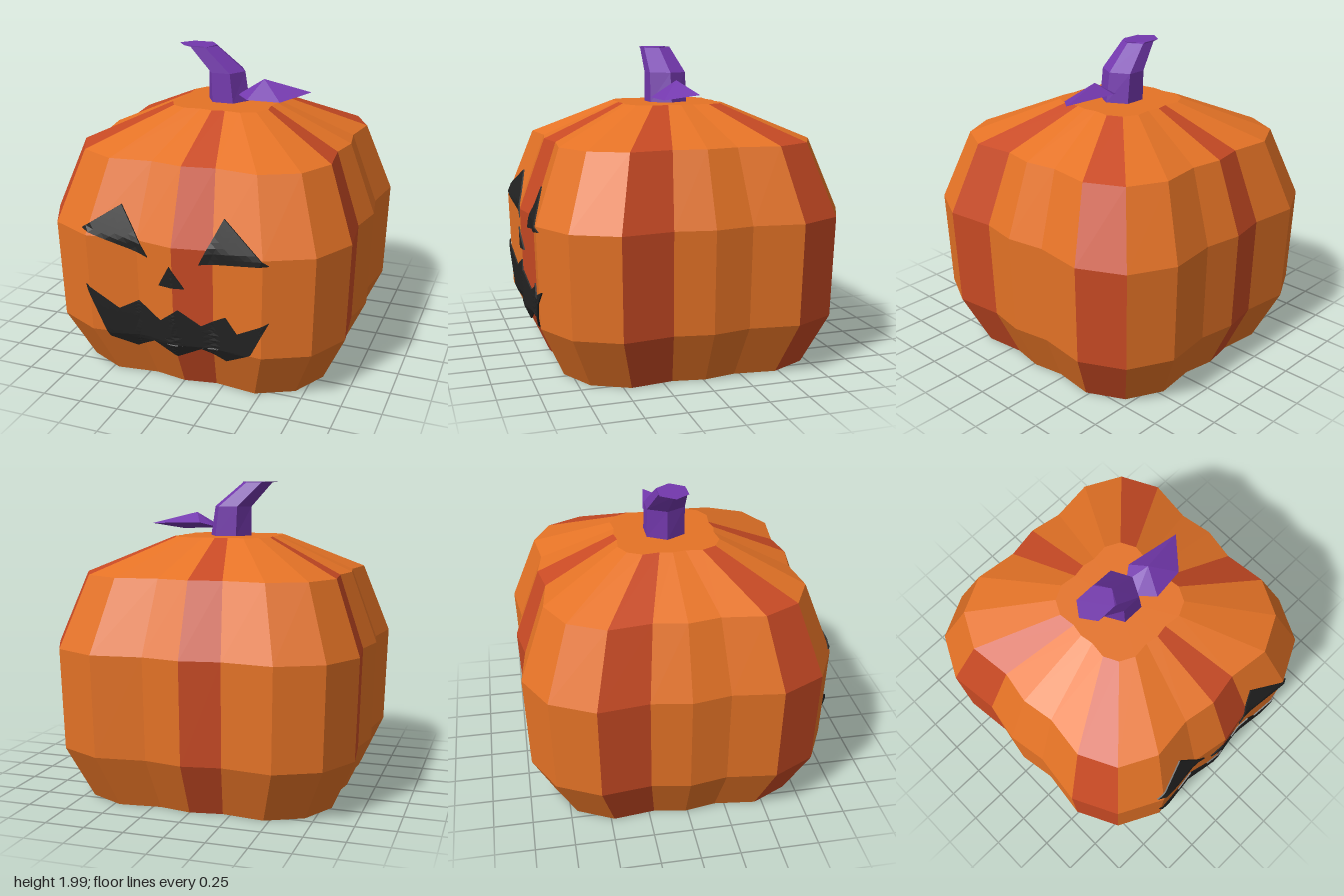
import * as THREE from 'three';

const mat = (name, color) => {
  const m = new THREE.MeshStandardMaterial({ color, side: THREE.DoubleSide });
  m.name = name;
  return m;
};

// One quarter of the ribbed, squarish outline (x, z), from the front centre towards +x
const QUARTER = [[0, 0.985], [0.245, 0.942], [0.565, 0.98], [0.84, 0.84], [0.98, 0.565], [0.942, 0.245]];
const OUTLINE = [];
for (let q = 0, pts = QUARTER; q < 4; q++, pts = pts.map(([x, z]) => [z, -x])) OUTLINE.push(...pts);

const CENTRE_Z = -0.013;
// Height and outline scale of each ring of the shell
const SHELL = [[0, 0.825], [0.335, 0.98], [0.97, 1], [1.42, 0.83]];
const LID = [[1.42, 0.83], [1.64, 0.33]];

const outlineRing = ([y, s]) => OUTLINE.map(([x, z]) => [x * s, y, z * s + CENTRE_Z]);

function facetedGeometry(positions) {
  const g = new THREE.BufferGeometry();
  g.setAttribute('position', new THREE.Float32BufferAttribute(positions, 3));
  g.computeVertexNormals();
  return g;
}

// Faceted skin over a stack of rings; keep(i) picks which segments are built
function loft(rings, keep = () => true) {
  const p = [];
  for (let r = 0; r + 1 < rings.length; r++) {
    const n = rings[r].length;
    for (let i = 0; i < n; i++) {
      if (!keep(i)) continue;
      const j = (i + 1) % n;
      const [a, b, c, d] = [rings[r][i], rings[r][j], rings[r + 1][j], rings[r + 1][i]];
      p.push(...a, ...b, ...c, ...a, ...c, ...d);
    }
  }
  return facetedGeometry(p);
}

// Depth of the shell's front at a given x and y
function frontZ(x, y) {
  let k = 0;
  while (k < SHELL.length - 2 && y > SHELL[k + 1][0]) k++;
  const [y0, s0] = SHELL[k], [y1, s1] = SHELL[k + 1];
  const s = s0 + (s1 - s0) * (y - y0) / (y1 - y0);
  const u = Math.min(Math.abs(x) / s, 0.839);
  let i = 0;
  while (u > QUARTER[i + 1][0]) i++;
  const [xa, za] = QUARTER[i], [xb, zb] = QUARTER[i + 1];
  return (za + (zb - za) * (u - xa) / (xb - xa)) * s + CENTRE_Z;
}

// Thin plate bent to follow the front of the shell
function facePlate(points) {
  const shape = new THREE.Shape(points.map(([x, y]) => new THREE.Vector2(x, y)));
  let g = new THREE.ExtrudeGeometry(shape, { depth: 0.009, bevelEnabled: false });
  if (g.index) g = g.toNonIndexed();
  const a = g.attributes.position;
  let verts = [];
  for (let i = 0; i < a.count; i++) verts.push(new THREE.Vector3().fromBufferAttribute(a, i));
  for (let level = 0; level < 3; level++) {
    const next = [];
    for (let i = 0; i < verts.length; i += 3) {
      const [A, B, C] = verts.slice(i, i + 3);
      const ab = A.clone().lerp(B, 0.5), bc = B.clone().lerp(C, 0.5), ca = C.clone().lerp(A, 0.5);
      next.push(A, ab, ca, ab, B, bc, ca, bc, C, ab, bc, ca);
    }
    verts = next;
  }
  return facetedGeometry(verts.flatMap(v => [v.x, v.y, frontZ(v.x, v.y) + v.z + 0.006]));
}

// Six-sided ring of the stem
function hexRing([cx, y, cz, rx, rz]) {
  return Array.from({ length: 6 }, (_, i) => {
    const t = (i - 0.5) * Math.PI / 3 + Math.PI / 6;
    return [cx + Math.cos(t) * rx, y, cz - Math.sin(t) * rz / 0.866];
  });
}

export function createModel() {
  const model = new THREE.Group();
  model.name = 'carvedPumpkin';
  const orange = mat('orange', 0xe57326);
  const red = mat('rustRed', 0xc84a24);
  const purple = mat('purple', 0x7338ad);
  const black = mat('black', 0x222222);
  const add = (name, geometry, material) => {
    const mesh = new THREE.Mesh(geometry, material);
    mesh.name = name;
    model.add(mesh);
  };

  // Shell and lid, every fourth rib segment red
  const striped = i => i % 4 === 0;
  const plain = i => i % 4 !== 0;
  const shell = SHELL.map(outlineRing), lid = LID.map(outlineRing);
  add('shell', loft(shell, plain), orange);
  add('shellStripes', loft(shell, striped), red);
  add('lid', loft(lid, plain), orange);
  add('lidStripes', loft(lid, striped), red);
  add('lidTop', loft([[1.64, 0.33], [1.64, 0]].map(outlineRing)), orange);

  // Hollow inside with ceiling, straight wall and bottom rim
  add('hollow', loft([[1.41, 0], [1.41, 0.785], [0, 0.785], [0, 0.825]].map(outlineRing)), red);

  // Carved face
  add('rightEye', facePlate([[-0.6, 1.01], [-0.165, 0.88], [-0.355, 1.17]]), black);
  add('leftEye', facePlate([[0.165, 0.88], [0.6, 0.94], [0.3, 1.16]]), black);
  add('nose', facePlate([[-0.09, 0.715], [0.075, 0.715], [-0.015, 0.85]]), black);
  add('mouth', facePlate([
    [-0.58, 0.645], [-0.44, 0.3], [-0.27, 0.245], [-0.135, 0.325], [0.01, 0.235], [0.17, 0.32],
    [0.32, 0.25], [0.49, 0.35], [0.6, 0.575], [0.4, 0.465], [0.325, 0.56], [0.17, 0.475],
    [0.03, 0.57], [-0.09, 0.475], [-0.24, 0.575], [-0.37, 0.505],
  ]), black);

  // Bent stem with a flat, overhanging end
  add('stem', loft([
    [-0.005, 1.64, -0.013, 0.14, 0.122], [-0.02, 1.83, -0.013, 0.125, 0.12],
    [-0.18, 1.985, 0.005, 0.1, 0.09], [-0.21, 1.992, 0.005, 0.13, 0.09], [-0.21, 1.992, 0.005, 0, 0],
  ].map(hexRing)), purple);

  // Leaf folded around a raised point
  const rim = [
    [0.08, 1.69, 0.05], [0.17, 1.68, 0.14], [0.38, 1.675, 0.115],
    [0.535, 1.715, -0.065], [0.18, 1.725, -0.12], [0.1, 1.7, -0.06],
  ];
  const at = point => rim.map(() => point);
  add('leaf', loft([at([0.25, 1.69, 0]), rim, at([0.235, 1.79, -0.01])]), purple);

  return model;
}
